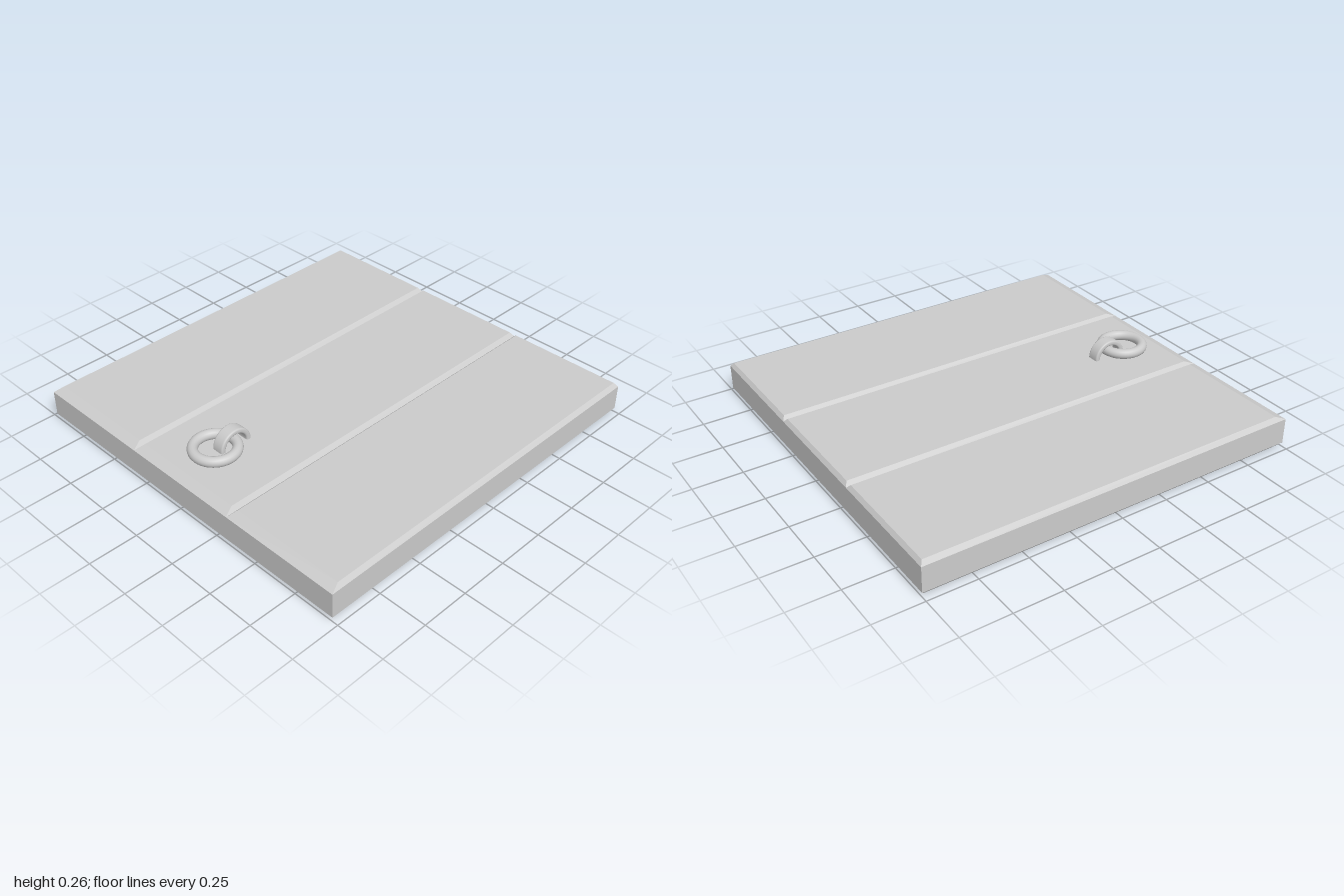
import * as THREE from 'three';

// Bevelled board from stacked rectangles: [y, halfWidth, zBack, zFront]
function boardGeometry(levels) {
  const rings = levels.map(([y, w, b, f]) => [[-w, y, f], [w, y, f], [w, y, b], [-w, y, b]]);
  const pos = [];
  const quad = (a, b, c, d) => pos.push(...a, ...b, ...c, ...a, ...c, ...d);
  for (let i = 0; i < rings.length - 1; i++) {
    for (let j = 0; j < 4; j++) {
      const k = (j + 1) % 4;
      quad(rings[i][j], rings[i][k], rings[i + 1][k], rings[i + 1][j]);
    }
  }
  quad(...rings[rings.length - 1]);
  quad(...[...rings[0]].reverse());
  const geo = new THREE.BufferGeometry();
  geo.setAttribute('position', new THREE.Float32BufferAttribute(pos, 3));
  geo.computeVertexNormals();
  return geo;
}

export function createModel() {
  const group = new THREE.Group();
  const boardMat = new THREE.MeshStandardMaterial({ color: 0xcccccc, flatShading: true });
  const metalMat = new THREE.MeshStandardMaterial({ color: 0xcccccc });

  // Three boards side by side, with a wider bevel at the front end
  const half = 0.3235, bevel = 0.02;
  const geo = boardGeometry([
    [0, half - bevel, -0.985, 0.95],
    [0.022, half, -1, 1],
    [0.153, half, -1, 1],
    [0.173, half - bevel, -0.985, 0.95],
  ]);
  ['rightBoard', 'middleBoard', 'leftBoard'].forEach((name, i) => {
    const board = new THREE.Mesh(geo, boardMat);
    board.name = name;
    board.position.x = (i - 1) * half * 2;
    group.add(board);
  });

  // Pull ring lying flat on the middle board
  const ring = new THREE.Mesh(new THREE.TorusGeometry(0.104, 0.026, 16, 48), metalMat);
  ring.name = 'pullRing';
  ring.rotation.x = -Math.PI / 2;
  ring.position.set(-0.025, 0.203, 0.76);
  group.add(ring);

  // Staple: half hoop with a flat, rounded section
  const section = new THREE.Shape();
  const r0 = 0.064, r1 = 0.09, w = 0.033, c = 0.01;
  section.moveTo(r0 + c, -w);
  section.lineTo(r1 - c, -w);
  section.quadraticCurveTo(r1, -w, r1, -w + c);
  section.lineTo(r1, w - c);
  section.quadraticCurveTo(r1, w, r1 - c, w);
  section.lineTo(r0 + c, w);
  section.quadraticCurveTo(r0, w, r0, w - c);
  section.lineTo(r0, -w + c);
  section.quadraticCurveTo(r0, -w, r0 + c, -w);
  const staple = new THREE.Mesh(
    new THREE.LatheGeometry(section.getPoints(4), 24, 0, Math.PI), metalMat);
  staple.name = 'staple';
  staple.rotation.z = Math.PI / 2;
  staple.position.set(-0.025, 0.173, 0.66);
  group.add(staple);

  return group;
}
